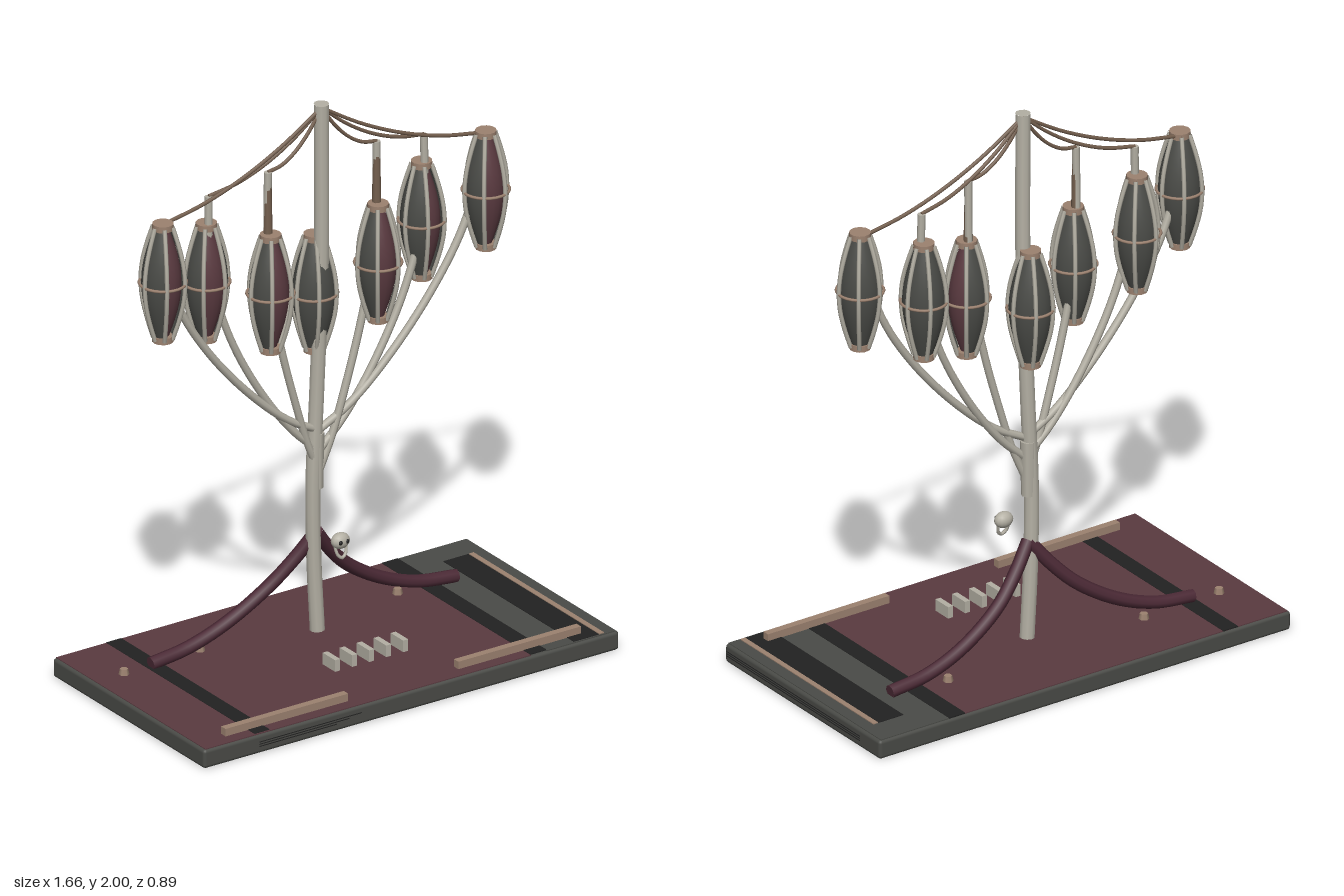
import * as THREE from 'three';
import { RoundedBoxGeometry } from 'three/addons/geometries/RoundedBoxGeometry.js';

const mat = (name, color, side = THREE.FrontSide) => {
  const m = new THREE.MeshStandardMaterial({ color, side });
  m.name = name;
  return m;
};

export function createModel() {
  const root = new THREE.Group();
  root.name = 'podTree';
  const grey = mat('darkGrey', 0x4a4b47, THREE.DoubleSide);
  const maroon = mat('maroon', 0x5a3a40, THREE.DoubleSide);
  const wine = mat('wine', 0x4c2a36);
  const black = mat('black', 0x222222);
  const bone = mat('bone', 0xb4b0a4);
  const tan = mat('tan', 0x9c8270);
  const brown = mat('brown', 0x75604f);

  const add = (name, geo, material, x = 0, y = 0, z = 0, parent = root) => {
    const m = new THREE.Mesh(geo, material);
    m.name = name;
    m.position.set(x, y, z);
    parent.add(m);
    return m;
  };
  // box given by its extents on each axis
  const slab = (name, material, x0, x1, y0, y1, z0, z1) =>
    add(name, new THREE.BoxGeometry(x1 - x0, y1 - y0, z1 - z0), material,
      (x0 + x1) / 2, (y0 + y1) / 2, (z0 + z1) / 2);
  // tube through points, with flat discs closing both ends
  const tube = (name, material, pts, r, seg = 24, sides = 8, parent = root) => {
    const curve = new THREE.CatmullRomCurve3(pts.map((p) => new THREE.Vector3(...p)));
    const t = add(name, new THREE.TubeGeometry(curve, seg, r, sides), material, 0, 0, 0, parent);
    for (const [u, s] of [[0, -1], [1, 1]]) {
      const p = curve.getPoint(u);
      const cap = add(name + 'End', new THREE.CircleGeometry(r, sides), material, p.x, p.y, p.z, parent);
      cap.lookAt(p.clone().addScaledVector(curve.getTangent(u), s));
    }
    return t;
  };

  // base slab and its inlaid strips
  add('base', new RoundedBoxGeometry(1.66, 0.068, 0.885, 2, 0.012), grey, 0, 0.034, 0);
  slab('topPanel', maroon, -0.82, 0.48, 0.064, 0.07, -0.435, 0.435);
  slab('endPanel', grey, 0.545, 0.82, 0.064, 0.07, -0.435, 0.435);
  slab('leftBand', black, 0.48, 0.545, 0.064, 0.0715, -0.435, 0.43);
  slab('rightBand', black, -0.62, -0.56, 0.064, 0.0715, -0.435, 0.43);
  slab('endBand', black, 0.655, 0.755, 0.064, 0.072, -0.33, 0.43);
  slab('endTrim', tan, 0.757, 0.776, 0.064, 0.073, -0.33, 0.43);
  slab('underBand', black, -0.62, -0.56, -0.001, 0.006, -0.33, 0.42);
  slab('underBand', black, 0.6, 0.68, -0.001, 0.006, -0.3, 0.42);
  for (let i = 0; i < 3; i++) {
    const y = 0.025 + i * 0.008;
    slab('sideGroove', black, -0.61, -0.3 + i * 0.05, y, y + 0.003, 0.44, 0.4435);
    slab('sideGroove', black, 0.828, 0.8315, y, y + 0.003, -0.33, 0.43);
  }
  for (const s of [-1, 1]) {
    const a = s * 0.22, b = s * 0.71;
    slab('frontRail', tan, Math.min(a, b), Math.max(a, b), 0.07, 0.097, 0.366, 0.392);
  }

  // row of upright tablets
  for (let i = -2; i <= 2; i++) {
    const x = i * 0.068;
    slab('tablet', bone, x - 0.01, x + 0.01, 0.086, 0.128, 0.135, 0.208);
  }

  // small studs
  for (const [x, z] of [[-0.71, -0.2], [-0.4, -0.21], [0.39, -0.21]]) {
    add('stud', new THREE.CylinderGeometry(0.014, 0.018, 0.02, 6), tan, x, 0.08, z);
  }

  // trunk
  tube('trunk', bone, [[0.002, 0.08, -0.112], [-0.012, 0.35, -0.112], [-0.018, 0.62, -0.108],
    [-0.005, 0.95, -0.105], [0.006, 1.4, -0.095], [0, 2, -0.085]], 0.026, 40, 10);
  add('collar', new THREE.CylinderGeometry(0.028, 0.024, 0.2, 8), bone, -0.006, 0.7, -0.107);

  // sweeping root hoses
  for (const s of [-1, 1]) {
    tube('rootHose', wine, [[0, 0.435, -0.115], [s * 0.07, 0.345, -0.14], [s * 0.16, 0.255, -0.165],
      [s * 0.31, 0.16, -0.183], [s * 0.46, 0.105, -0.19], [s * 0.61, 0.085, -0.19]], 0.023, 30);
  }

  // branches and sagging cables, mirrored
  const branches = [
    { top: [0.635, 1.73], pts: [[0, 0.81], [0.12, 0.875], [0.275, 1.01], [0.44, 1.2], [0.56, 1.39], [0.62, 1.56]] },
    { top: [0.43, 1.765], pts: [[0, 0.735], [0.1, 0.83], [0.22, 0.99], [0.34, 1.21], [0.41, 1.42], [0.43, 1.6]] },
    { top: [0.217, 1.81], pts: [[0, 0.66], [0.05, 0.78], [0.1, 0.94], [0.16, 1.16], [0.205, 1.38], [0.217, 1.58]] },
  ];
  for (const s of [-1, 1]) {
    branches.forEach(({ top, pts }, i) => {
      const z = i === 1 ? -0.115 : -0.08;
      const path = [...pts, top].map(([x, y], k, a) =>
        [s * x, y, THREE.MathUtils.lerp(-0.1, z, k / (a.length - 1))]);
      tube('branch', bone, path, 0.0135, 32);
      if (i === 2) add('stemSleeve', new THREE.CylinderGeometry(0.012, 0.016, 0.22, 8), brown, s * top[0], 1.68, z);
      const cable = [0, 0.25, 0.5, 0.75, 1].map((t) => [s * top[0] * t,
        1.985 + (top[1] - 1.985) * t - 0.18 * t * (1 - t), -0.085 + (z + 0.085) * t]);
      tube('cable', brown, cable, 0.0065, 20, 6);
    });
  }

  // spindle pods: core, shell panels, ribs, ring and end caps
  const H = 0.2;
  const profile = (grow, n = 12) => Array.from({ length: n + 1 }, (_, k) => {
    const t = k / n;
    return new THREE.Vector2(0.028 + 0.044 * Math.sin(Math.PI * t) + grow, (t * 2 - 1) * H);
  });
  const coreGeo = new THREE.LatheGeometry(profile(-0.01), 18);
  const panelGeo = new THREE.LatheGeometry(profile(0), 4, -Math.PI / 6, Math.PI / 3);
  const capGeo = new THREE.CylinderGeometry(0.036, 0.036, 0.022, 12);
  const ringGeo = new THREE.TorusGeometry(0.079, 0.005, 6, 24);
  const ribPts = profile(0.006, 6).map((p) => [0, p.y * 1.02, p.x]);
  const pod = (x, y, z, open, turn) => {
    const g = new THREE.Group();
    g.name = 'pod';
    g.position.set(x, y, z);
    g.rotation.y = turn;
    root.add(g);
    add('podCore', coreGeo, maroon, 0, 0, 0, g);
    for (let k = 0; k < 6; k++) {
      const a = k * Math.PI / 3;
      if (!open.includes(k)) add('podPanel', panelGeo, grey, 0, 0, 0, g).rotation.y = a;
      const rib = new THREE.Group();
      rib.name = 'podRib';
      rib.rotation.y = a + Math.PI / 6;
      g.add(rib);
      tube('ribTube', bone, ribPts, 0.0075, 16, 6, rib);
    }
    add('podRing', ringGeo, tan, 0, 0, 0, g).rotation.x = Math.PI / 2;
    for (const s of [-1, 1]) add('podCap', capGeo, tan, 0, s * (H + 0.003), 0, g);
  };
  const openings = [[0], [0, 4], [0, 1], [], [0, 2, 4], [0], [0, 1, 4]];
  openings.forEach((open, i) => {
    const k = i - 3;
    pod(k * 0.215, 1.3 + Math.abs(k) * 0.076, i % 2 ? -0.128 : -0.068, open, [0.1, -0.2, 0, 0.15, -0.1, 0.2, -0.15][i]);
  });

  // small hanging mask
  const mask = new THREE.Group();
  mask.name = 'mask';
  mask.position.set(0, 0.455, 0.025);
  root.add(mask);
  add('maskHead', new THREE.SphereGeometry(0.03, 14, 10), bone, 0, 0, 0, mask).scale.set(1.15, 0.95, 0.85);
  for (const s of [-1, 1]) {
    add('maskEye', new THREE.SphereGeometry(0.008, 8, 6), black, s * 0.013, 0.002, 0.022, mask).scale.z = 0.6;
  }
  tube('maskJaw', bone, [[-0.022, -0.015, 0], [-0.016, -0.045, 0.008], [0, -0.058, 0.012],
    [0.016, -0.045, 0.008], [0.022, -0.015, 0]], 0.006, 14, 6, mask);

  return root;
}
